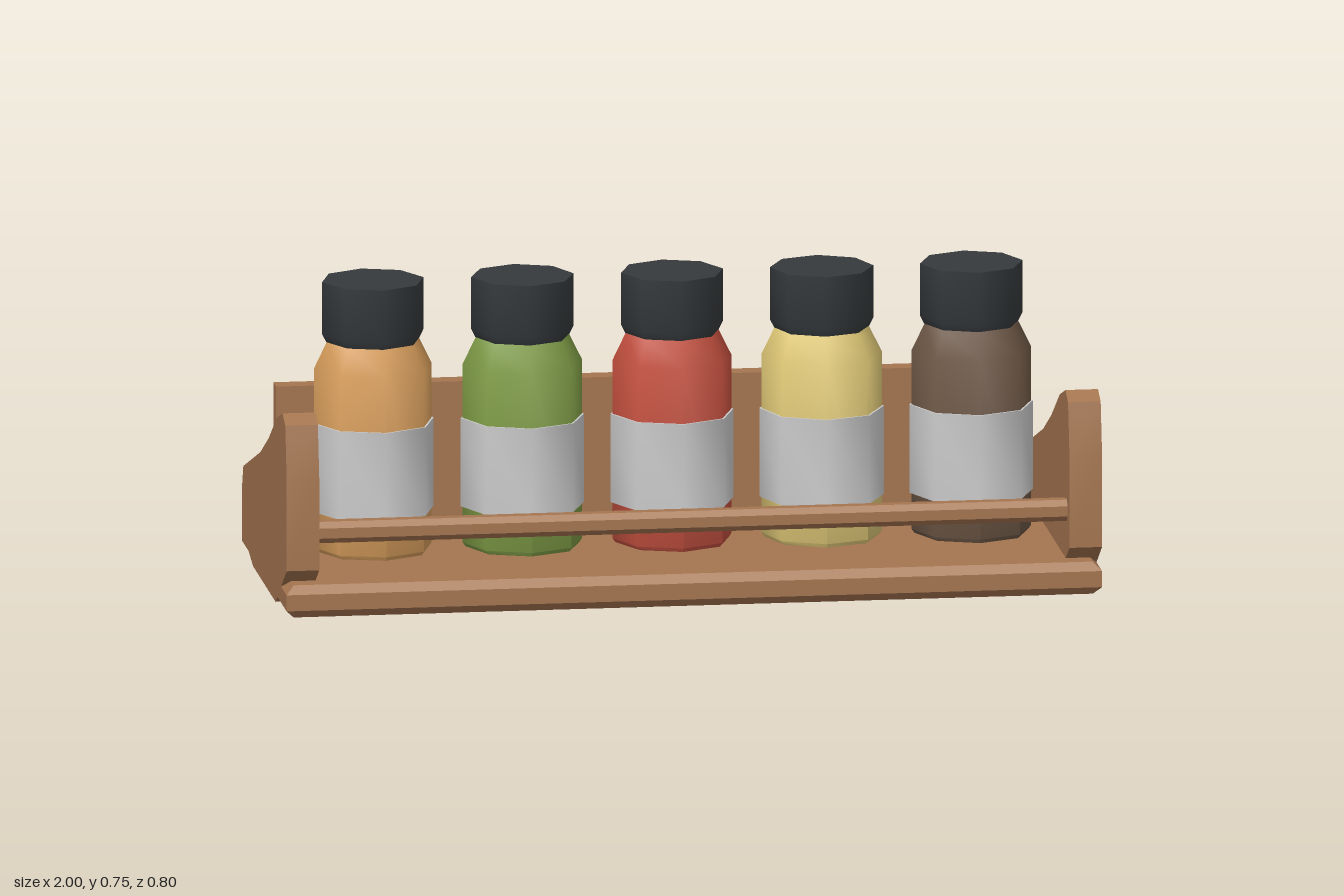
import * as THREE from 'three';
import { toCreasedNormals } from 'three/addons/utils/BufferGeometryUtils.js';

const material = (color) => new THREE.MeshStandardMaterial({ color });
const wood = material(0xa57550);
const capMaterial = material(0x363a3d);
const labelMaterial = material(0xcccccc);

function addMesh(parent, name, geometry, mat) {
  const mesh = new THREE.Mesh(geometry, mat);
  mesh.name = name;
  parent.add(mesh);
  return mesh;
}

// Extrude a (z, y) outline along x, from x0 to x1
function alongX(outline, x0, x1) {
  const shape = new THREE.Shape(outline.map(([z, y]) => new THREE.Vector2(z, y)));
  const geometry = new THREE.ExtrudeGeometry(shape, { depth: x1 - x0, bevelEnabled: false });
  geometry.rotateY(-Math.PI / 2).translate(x1, 0, 0);
  return toCreasedNormals(geometry, 0.5);
}

// Eight-sided turned part, soft around its sides and sharp at its rims
function turned(profile) {
  const points = profile.map(([r, y]) => new THREE.Vector2(r, y));
  return toCreasedNormals(new THREE.LatheGeometry(points, 8), 0.9);
}

// Rectangle with its four corners cut off
function chamferedRect(z0, z1, y0, y1, c) {
  return [
    [z0 + c, y0], [z1 - c, y0], [z1, y0 + c], [z1, y1 - c],
    [z1 - c, y1], [z0 + c, y1], [z0, y1 - c], [z0, y0 + c],
  ];
}

// Base board, chamfered along its top and bottom edges
function baseGeometry() {
  const shape = new THREE.Shape();
  shape.moveTo(-0.98, -0.38).lineTo(0.98, -0.38).lineTo(0.98, 0.38).lineTo(-0.98, 0.38).closePath();
  const geometry = new THREE.ExtrudeGeometry(shape, {
    depth: 0.04, bevelSize: 0.02, bevelThickness: 0.02, bevelSegments: 1,
  });
  return geometry.rotateX(-Math.PI / 2).translate(0, 0.02, 0);
}

export function createModel() {
  const model = new THREE.Group();
  model.name = 'spiceRack';

  addMesh(model, 'base', baseGeometry(), wood);

  // Sweeping end panels
  const panelOutline = [
    [0.2, 0], [0.4, 0.12], [0.4, 0.35], [0.375, 0.477], [0.327, 0.497], [0.226, 0.464],
    [0.075, 0.379], [-0.07, 0.313], [-0.375, 0.211], [-0.4, 0.15], [-0.4, 0.05], [-0.2, 0],
  ].reverse();
  addMesh(model, 'leftPanel', alongX(panelOutline, 0.92, 1), wood);
  addMesh(model, 'rightPanel', alongX(panelOutline, -1, -0.92), wood);

  // Back board and front rail between the panels
  const back = addMesh(model, 'backBoard', new THREE.BoxGeometry(1.85, 0.355, 0.05), wood);
  back.position.set(0, 0.2375, -0.36);
  addMesh(model, 'frontRail', alongX(chamferedRect(0.313, 0.367, 0.177, 0.23, 0.014), -0.925, 0.925), wood);

  // Row of jars
  const body = turned([[0, 0], [0.14, 0], [0.147, 0.01], [0.147, 0.455], [0.115, 0.52], [0, 0.52]]);
  const label = turned([[0.145, 0.1], [0.152, 0.1], [0.152, 0.32], [0.145, 0.32]]);
  const cap = turned([[0, 0.52], [0.116, 0.52], [0.126, 0.54], [0.126, 0.67], [0, 0.67]]);
  const contents = [0xd89e5c, 0x7f9c46, 0xc4503f, 0xe2cb78, 0x6e5846];
  const turns = [0.09, 0.03, 0.06, -0.05, 0.02];
  contents.forEach((color, i) => {
    const jar = new THREE.Group();
    jar.name = `jar${i + 1}`;
    jar.position.set((i - 2) * 0.367, 0.08, 0);
    jar.rotation.y = turns[i];
    addMesh(jar, 'jarBody', body, material(color));
    addMesh(jar, 'jarLabel', label, labelMaterial);
    addMesh(jar, 'jarCap', cap, capMaterial);
    model.add(jar);
  });

  return model;
}
